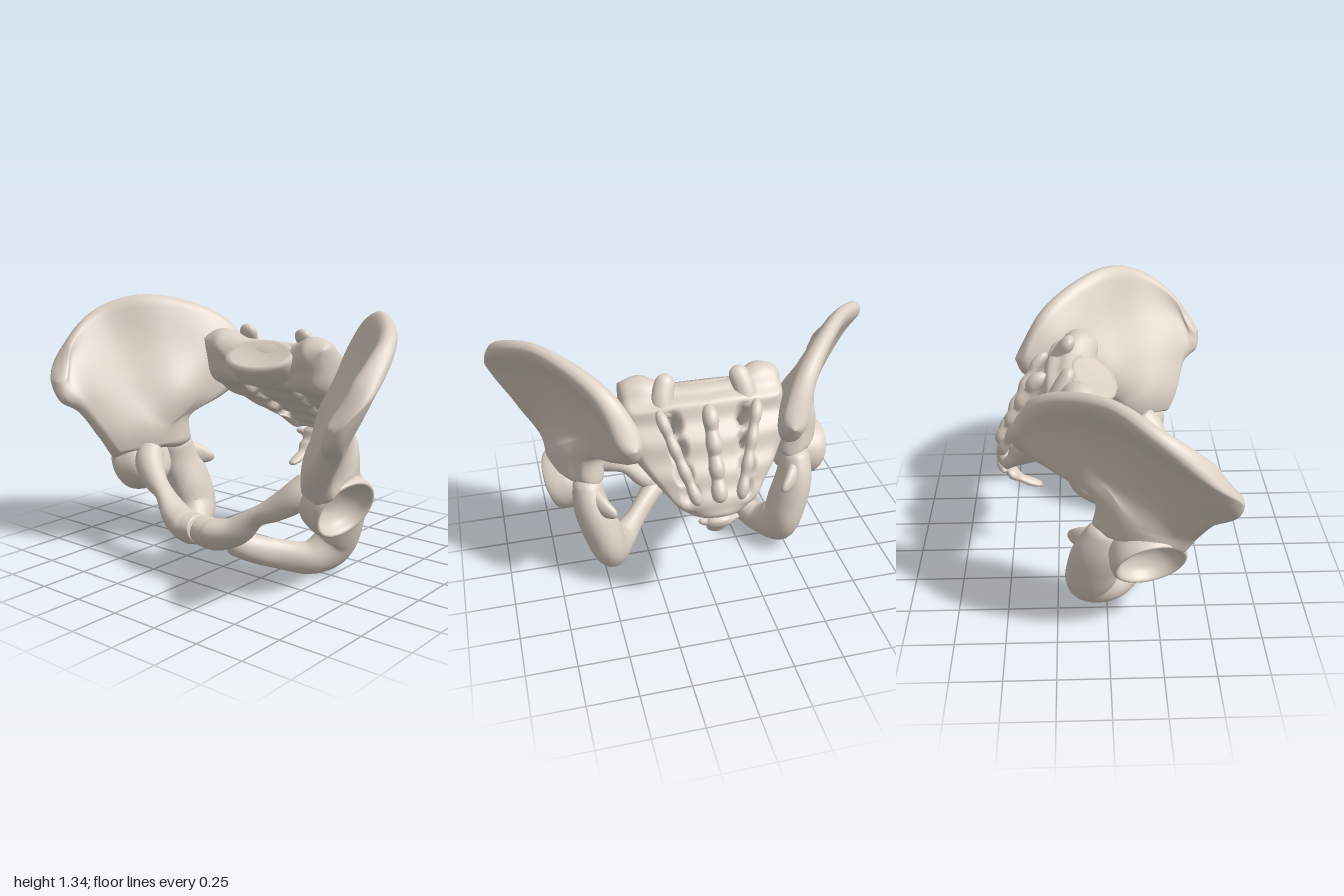
import * as THREE from 'three';
import { mergeVertices } from 'three/addons/utils/BufferGeometryUtils.js';

const bone = new THREE.MeshStandardMaterial({ color: 0xdcd0c4 });

// Smooth spline through rows of numbers, t from 0 to 1
function spline(list, t) {
  const n = list.length - 1;
  const i = Math.min(n - 1, Math.floor(t * n));
  const f = t * n - i;
  const b = list[i], c = list[i + 1];
  const a = list[i - 1] || b.map((v, k) => 2 * v - c[k]);
  const d = list[i + 2] || c.map((v, k) => 2 * v - b[k]);
  return b.map((v, k) => v + 0.5 * f * (c[k] - a[k]
    + f * (2 * a[k] - 5 * v + 4 * c[k] - d[k] + f * (3 * (v - c[k]) + d[k] - a[k]))));
}

// Denser samples near both ends, and a rounded falloff towards them
const ease = (t) => 0.4 * t + 0.6 * (0.5 - 0.5 * Math.cos(Math.PI * t));
const round = (t, w) => {
  const k = 1 - Math.min(1, Math.min(t, 1 - t) / w);
  return Math.sqrt(Math.max(0, 1 - k * k));
};

function smooth(geo) {
  geo.deleteAttribute('normal');
  geo.deleteAttribute('uv');
  const g = mergeVertices(geo, 1e-5);
  g.computeVertexNormals();
  return g;
}

function build(pos, index) {
  const g = new THREE.BufferGeometry();
  g.setAttribute('position', new THREE.Float32BufferAttribute(pos, 3));
  g.setIndex(index);
  return smooth(g);
}

// Closed curved plate: a grid of [x, y, z, half thickness] with rounded borders
function plate(grid, nu, nv, wu, wv, shape = () => 1) {
  const at = (u, v) => spline(grid.map((row) => spline(row, u)), v);
  const vec = (u, v) => new THREE.Vector3(...at(u, v).slice(0, 3));
  const e = 0.004, pos = [], thick = [], index = [];
  const size = (nu + 1) * (nv + 1);
  for (const side of [1, -1]) {
    for (let j = 0; j <= nv; j++) for (let i = 0; i <= nu; i++) {
      const u = ease(i / nu), v = ease(j / nv);
      const p = at(u, v);
      const du = vec(Math.min(1, u + e), v).sub(vec(Math.max(0, u - e), v));
      const dv = vec(u, Math.min(1, v + e)).sub(vec(u, Math.max(0, v - e)));
      const h = p[3] * round(u, wu) * round(v, wv) * shape(p, u, v);
      const n = du.cross(dv).normalize().multiplyScalar(side * h);
      pos.push(p[0] + n.x, p[1] + n.y, p[2] + n.z);
      thick.push(h);
    }
  }
  for (let j = 0; j < nv; j++) for (let i = 0; i < nu; i++) {
    const a = j * (nu + 1) + i, b = a + 1, d = a + nu + 1, c = d + 1;
    if (Math.max(thick[a], thick[b], thick[c], thick[d]) < 1e-6) continue; // opening
    index.push(a, b, c, a, c, d);
    index.push(a + size, c + size, b + size, a + size, d + size, c + size);
  }
  return build(pos, index);
}

// Rounded limb along [x, y, z, a, b]: a is the half width towards ref, b across it
function limb(path, ref = [1, 0, 0], cap = 0.08, n = 40, m = 24) {
  const pos = [], index = [], r = new THREE.Vector3(...ref);
  const vec = (t) => new THREE.Vector3(...spline(path, t).slice(0, 3));
  for (let i = 0; i <= n; i++) {
    const t = ease(i / n), p = spline(path, t), k = round(t, cap);
    const T = vec(Math.min(1, t + 0.01)).sub(vec(Math.max(0, t - 0.01))).normalize();
    const A = r.clone().addScaledVector(T, -T.dot(r)).normalize();
    const B = T.clone().cross(A);
    for (let j = 0; j < m; j++) {
      const q = (j / m) * Math.PI * 2;
      const ca = Math.cos(q) * p[3] * k, sb = Math.sin(q) * p[4] * k;
      pos.push(p[0] + A.x * ca + B.x * sb, p[1] + A.y * ca + B.y * sb, p[2] + A.z * ca + B.z * sb);
      if (i === n) continue;
      const a = i * m + j, b = i * m + (j + 1) % m;
      index.push(a, b, b + m, a, b + m, a + m);
    }
  }
  return build(pos, index);
}

function mirrored(geo) {
  const g = geo.clone().scale(-1, 1, 1);
  const ix = g.index.array;
  for (let i = 0; i < ix.length; i += 3) [ix[i], ix[i + 1]] = [ix[i + 1], ix[i]];
  g.computeVertexNormals();
  return g;
}

export function createModel() {
  const model = new THREE.Group();
  model.name = 'pelvis';
  const add = (name, geo) => {
    const mesh = new THREE.Mesh(geo, bone);
    mesh.name = name;
    model.add(mesh);
  };
  const addPair = (name, geo) => {
    add(name + 'Left', geo);
    add(name + 'Right', mirrored(geo));
  };

  // Iliac wing: rows rise from the hip socket to the crest, columns run front to back
  addPair('iliacWing', plate([
    [[.66, .49, .37, .07], [.64, .52, .29, .10], [.62, .53, .20, .12], [.59, .52, .10, .11], [.55, .51, .01, .09], [.53, .54, -.075, .05]],
    [[.71, .62, .435, .055], [.66, .64, .33, .09], [.62, .66, .21, .12], [.58, .67, .10, .115], [.54, .69, .01, .08], [.51, .70, -.06, .05]],
    [[.80, .74, .48, .05], [.76, .81, .37, .065], [.67, .85, .21, .07], [.53, .84, .04, .08], [.475, .82, -.10, .07], [.42, .775, -.22, .05]],
    [[.835, .81, .565, .05], [.895, .97, .43, .05], [.81, 1.08, .21, .033], [.62, 1.10, 0, .037], [.46, 1.05, -.23, .06], [.37, .885, -.41, .065]],
    [[.86, .91, .575, .05], [.95, 1.09, .44, .06], [.935, 1.265, .21, .05], [.75, 1.335, -.02, .045], [.51, 1.225, -.30, .05], [.375, .98, -.465, .07]],
  ], 64, 56, 0.07, 0.08));

  // Hip socket: thick shallow bowl facing outward, a little down and forward
  const bowl = new THREE.SplineCurve([[0, -.195], [.1, -.185], [.165, -.13], [.185, -.05], [.182, 0],
    [.168, .012], [.152, 0], [.13, -.045], [.07, -.085], [0, -.095]].map((p) => new THREE.Vector2(...p)));
  const profile = bowl.getPoints(40);
  profile.forEach((p) => { p.x = Math.max(0, p.x); });
  const socket = new THREE.LatheGeometry(profile, 48);
  const facing = new THREE.Vector3(.9, -.3, .2).normalize();
  socket.applyQuaternion(new THREE.Quaternion().setFromUnitVectors(new THREE.Vector3(0, 1, 0), facing));
  addPair('hipSocket', smooth(socket.scale(1, .85, 1).translate(.70, .435, .195)));

  // Upper pubic branch, widening towards the joint in the middle
  addPair('upperPubicBranch', limb([
    [.53, .54, .22, .07, .07], [.485, .475, .28, .075, .075], [.39, .405, .33, .06, .06],
    [.30, .355, .355, .062, .045], [.20, .27, .375, .10, .065], [.10, .235, .395, .125, .078],
    [.045, .235, .40, .115, .078], [0, .24, .40, .105, .075]], [0, .35, .9], 0.03, 56));

  // Seat bone, curving forward into the lower pubic branch
  addPair('seatBone', limb([
    [.56, .57, 0, .07, .07], [.555, .42, -.04, .09, .12], [.515, .28, -.07, .10, .13],
    [.47, .15, -.07, .095, .125], [.40, .085, .04, .085, .085], [.30, .11, .15, .055, .075],
    [.21, .15, .26, .055, .07], [.12, .20, .35, .065, .065]], [1, 0, 0], 0.05, 64));
  addPair('seatBoneSpine', limb([
    [.55, .45, -.05, .09, .05], [.50, .44, -.13, .06, .035], [.44, .42, -.19, .02, .015]], [0, 1, 0], 0.15, 20));

  // Sacrum: a tapering plate pierced by pairs of small openings
  const across = [-1, -.72, -.38, 0, .38, .72, 1];
  const sacrumRows = [ // height, depth, half width, half thickness
    [1.09, -.10, .39, .09], [.99, -.19, .40, .12], [.87, -.32, .385, .09],
    [.76, -.43, .295, .06], [.67, -.505, .20, .042], [.60, -.54, .08, .032]];
  const openings = [[.165, .93], [.155, .85], [.145, .77], [.125, .70]];
  add('sacrum', plate(sacrumRows.map(([y, z, w, h], j) => across.map((f) => {
    const a = Math.abs(f);
    const horn = j === 0 ? (a > .9 ? .03 : a > .6 ? .07 : 0) : 0;
    return [f * w, y + horn, z + (j > 1 ? .06 : .04) * a * a, h];
  })), 96, 80, 0.1, 0.1, (p, u, v) => {
    let k = 1 + .08 * Math.cos(v * Math.PI * 10); // faint fused ridges
    for (const [x, y] of openings) {
      const d = Math.hypot(Math.abs(p[0]) - x, p[1] - y) - .015;
      k *= Math.sqrt(Math.min(1, Math.max(0, d / .03)));
    }
    return k;
  }));

  // Oval top face of the sacrum, leaning forward
  const top = new THREE.LatheGeometry([[0, -.16], [.6, -.15], [.85, -.11], [.95, -.05], [1, -.018], [.96, .004],
    [.8, 0], [.4, -.012], [0, -.016]].map((p) => new THREE.Vector2(...p)), 48);
  add('sacrumTopFace', smooth(top.scale(.215, 1, .13).rotateX(.5).translate(0, 1.065, -.045)));

  // Upward joint processes and the low knobbly ridges on the back
  addPair('jointProcess', limb([
    [.21, 1.0, -.25, .06, .06], [.20, 1.1, -.21, .055, .045], [.165, 1.195, -.16, .045, .03]], [1, 0, 0], 0.2, 20));
  const ridge = (x0, x1, back, r) => Array.from({ length: 9 }, (_, i) => {
    const t = i / 8, bump = i % 2 ? 1.12 : .9;
    return [x0 + (x1 - x0) * t, 1.08 - .40 * t, -.29 - .24 * Math.pow(t, .8) - back * (i % 2), r * bump, r * bump];
  });
  add('middleRidge', limb(ridge(0, 0, .012, .035), [1, 0, 0], 0.08, 64));
  addPair('sideRidge', limb(ridge(.24, .10, .006, .026), [1, 0, 0], 0.08, 64, 16));

  // Tailbone: tapering segments with two small side horns
  add('tailbone', limb([
    [0, .60, -.54, .04, .02], [0, .565, -.525, .07, .032], [0, .53, -.50, .045, .022],
    [0, .50, -.475, .05, .028], [0, .47, -.435, .03, .018], [0, .445, -.385, .032, .02],
    [0, .425, -.325, .02, .012]], [1, 0, 0], 0.06, 48));
  add('tailboneHorns', limb([
    [-.10, .575, -.515, .012, .012], [-.05, .565, -.52, .02, .022], [0, .56, -.525, .025, .03],
    [.05, .565, -.52, .02, .022], [.10, .575, -.515, .012, .012]], [0, 1, 0], 0.06, 24, 12));

  return model;
}
